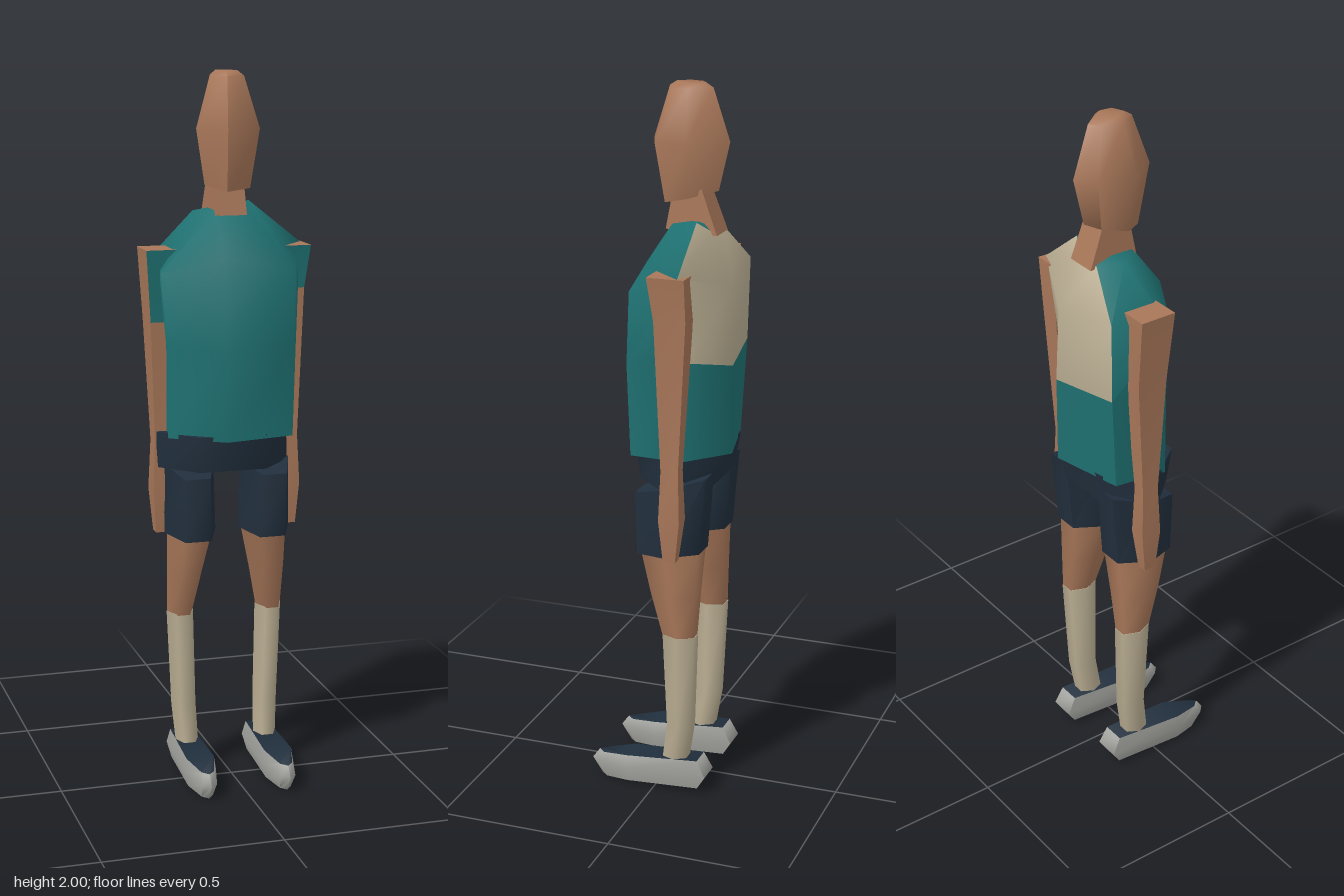
import * as THREE from 'three';
import { toCreasedNormals } from 'three/addons/utils/BufferGeometryUtils.js';

const paint = (name, color) => Object.assign(new THREE.MeshStandardMaterial({ color }), { name });

// Skin over stacked rings of [x, y, z] points, listed bottom to top, each running +x, back, -x, front.
// pick(ring, side) chooses the material index; ring is 'top' or 'bottom' for the caps.
function loft(name, rings, mats, pick = () => 0) {
  const n = rings[0].length;
  const lists = mats.map(() => []);
  for (let r = 0; r < rings.length - 1; r++) {
    for (let j = 0; j < n; j++) {
      const a = r * n + j, b = r * n + (j + 1) % n;
      lists[pick(r, j)].push(a, b, b + n, a, b + n, a + n);
    }
  }
  const t = (rings.length - 1) * n;
  for (let j = 1; j < n - 1; j++) {
    lists[pick('top', j)].push(t, t + j, t + j + 1);
    lists[pick('bottom', j)].push(0, j + 1, j);
  }
  const geo = new THREE.BufferGeometry();
  geo.setAttribute('position', new THREE.Float32BufferAttribute(rings.flat(2), 3));
  geo.setIndex(lists.flat());
  let start = 0;
  lists.forEach((list, i) => { geo.addGroup(start, list.length, i); start += list.length; });
  const mesh = new THREE.Mesh(toCreasedNormals(geo, 1.2), mats);
  mesh.name = name;
  return mesh;
}

// Six-sided ring; tilt raises the back and lowers the front
function hex(y, cx, rx, cz, rz, tilt = 0) {
  return Array.from({ length: 6 }, (_, i) => {
    const a = i * Math.PI / 3, s = Math.sin(a) / 0.866;
    return [cx + rx * Math.cos(a), y + tilt * s, cz - rz * s];
  });
}

// Four-sided ring
const quad = (y, x0, x1, z0, z1) => [[x1, y, z0], [x0, y, z0], [x0, y, z1], [x1, y, z1]];

export function createModel() {
  const skin = paint('skin', 0xa87759);
  const teal = paint('shirtTeal', 0x1f7172);
  const cream = paint('cream', 0xb9ad92);
  const navy = paint('navy', 0x212f3d);
  const grey = paint('shoeGrey', 0xa3a49f);
  const model = new THREE.Group();
  model.name = 'figure';

  // Shirt with a pale upper back panel
  model.add(loft('shirt', [
    [[0.17, 1.0, -0.09], [0.05, 1.0, -0.195], [-0.16, 1.0, -0.15], [-0.18, 1.0, 0], [-0.04, 1.0, 0.1], [0.16, 1.0, 0.06]],
    [[0.175, 1.28, -0.1], [0.05, 1.25, -0.195], [-0.165, 1.27, -0.165], [-0.18, 1.26, 0], [-0.045, 1.25, 0.105], [0.165, 1.26, 0.068]],
    [[0.23, 1.52, -0.1], [0.04, 1.47, -0.19], [-0.17, 1.5, -0.17], [-0.2, 1.46, 0], [-0.04, 1.5, 0.083], [0.165, 1.46, 0.06]],
    [[0.08, 1.64, -0.1], [0.04, 1.61, -0.13], [-0.05, 1.61, -0.13], [-0.09, 1.62, -0.07], [-0.04, 1.625, -0.01], [0.05, 1.625, -0.02]],
  ], [teal, cream], (r, j) => (r === 1 || r === 2) && j < 2 ? 1 : 0));

  // Neck and head
  model.add(loft('neck', [
    [[0.045, 1.6, -0.145], [-0.045, 1.6, -0.145], [-0.045, 1.61, -0.0], [0.045, 1.61, -0.0]],
    quad(1.72, -0.04, 0.04, -0.1, -0.02),
  ], [skin]));
  const skull = [[0.085, -0.07], [0.0, -0.165], [-0.06, -0.13], [-0.09, -0.03], [-0.025, 0.057], [0.075, 0.02]];
  const headRing = (y, sx, sz, tilt) =>
    skull.map(([x, z]) => [x * sx, y - tilt * (z + 0.055), -0.055 + (z + 0.055) * sz]);
  model.add(loft('head', [
    headRing(1.695, 0.72, 0.72, 0.16),
    headRing(1.845, 1, 1, 0),
    headRing(1.985, 0.53, 0.57, 0),
    headRing(1.998, 0.35, 0.38, 0),
  ], [skin]));

  // Waist of the shorts
  model.add(loft('shortsWaist', [
    hex(0.91, -0.012, 0.19, -0.045, 0.105, 0.0),
    hex(1.012, -0.015, 0.19, -0.045, 0.122),
  ], [navy]));

  for (const s of [-1, 1]) {
    const side = s > 0 ? 'left' : 'right';

    // Arm and hand in one piece, with the sleeve on its front
    const arm = (y, inner, outer, z0, z1) =>
      quad(y, Math.min(s * inner, s * outer), Math.max(s * inner, s * outer), z0, z1);
    const cuff = s > 0 ? 1.4 : 1.32;
    model.add(loft(side + 'Arm', [
      arm(0.72, 0.175, 0.205, -0.085, -0.05),
      arm(0.84, 0.165, 0.214, -0.1, -0.04),
      arm(0.98, 0.17, 0.208, -0.095, -0.045),
      arm(cuff, 0.16, 0.221, -0.12, -0.03),
      arm(1.52, 0.15, 0.235, -0.12, -0.015),
    ], [skin, teal], (r, j) => r === 3 && j === 2 ? 1 : 0));

    // Leg: shorts, bare knee and sock
    const leg = (y, cx, rx, cz, rz, tilt) => hex(y, s * cx, rx, cz, rz, tilt);
    model.add(loft(side + 'ShortsLeg', [
      leg(0.72, 0.108, 0.074, -0.043, 0.091, 0.01),
      leg(0.92, 0.111, 0.073, -0.05, 0.102, 0.03),
    ], [navy]));
    model.add(loft(side + 'Knee', [
      leg(0.47, 0.132, 0.036, -0.075, 0.044),
      leg(0.6, 0.121, 0.052, -0.058, 0.065),
      leg(0.74, 0.106, 0.069, -0.043, 0.086),
    ], [skin]));
    model.add(loft(side + 'Sock', [
      leg(0.08, 0.116, 0.033, -0.056, 0.035),
      leg(0.2, 0.122, 0.036, -0.074, 0.036),
      leg(0.48, 0.131, 0.039, -0.075, 0.046),
    ], [cream]));

    // Shoe with a dark top
    const sole = (w, heel, toe, yHeel, yToe) => [
      [w, (yHeel + yToe) / 2, 0.08], [w * 0.8, yHeel, heel], [-w * 0.8, yHeel, heel],
      [-w, (yHeel + yToe) / 2, 0.08], [-w * 0.45, yToe, toe - 0.02], [0, yToe, toe], [w * 0.45, yToe, toe - 0.02],
    ];
    const shoe = loft(side + 'Shoe', [
      sole(0.036, -0.13, 0.17, 0.015, 0.0),
      sole(0.046, -0.155, 0.2, 0.055, 0.045),
      sole(0.04, -0.13, 0.178, 0.102, 0.075),
    ], [grey, navy], r => r === 'top' ? 1 : 0);
    shoe.position.x = s * 0.115;
    model.add(shoe);
  }
  return model;
}
